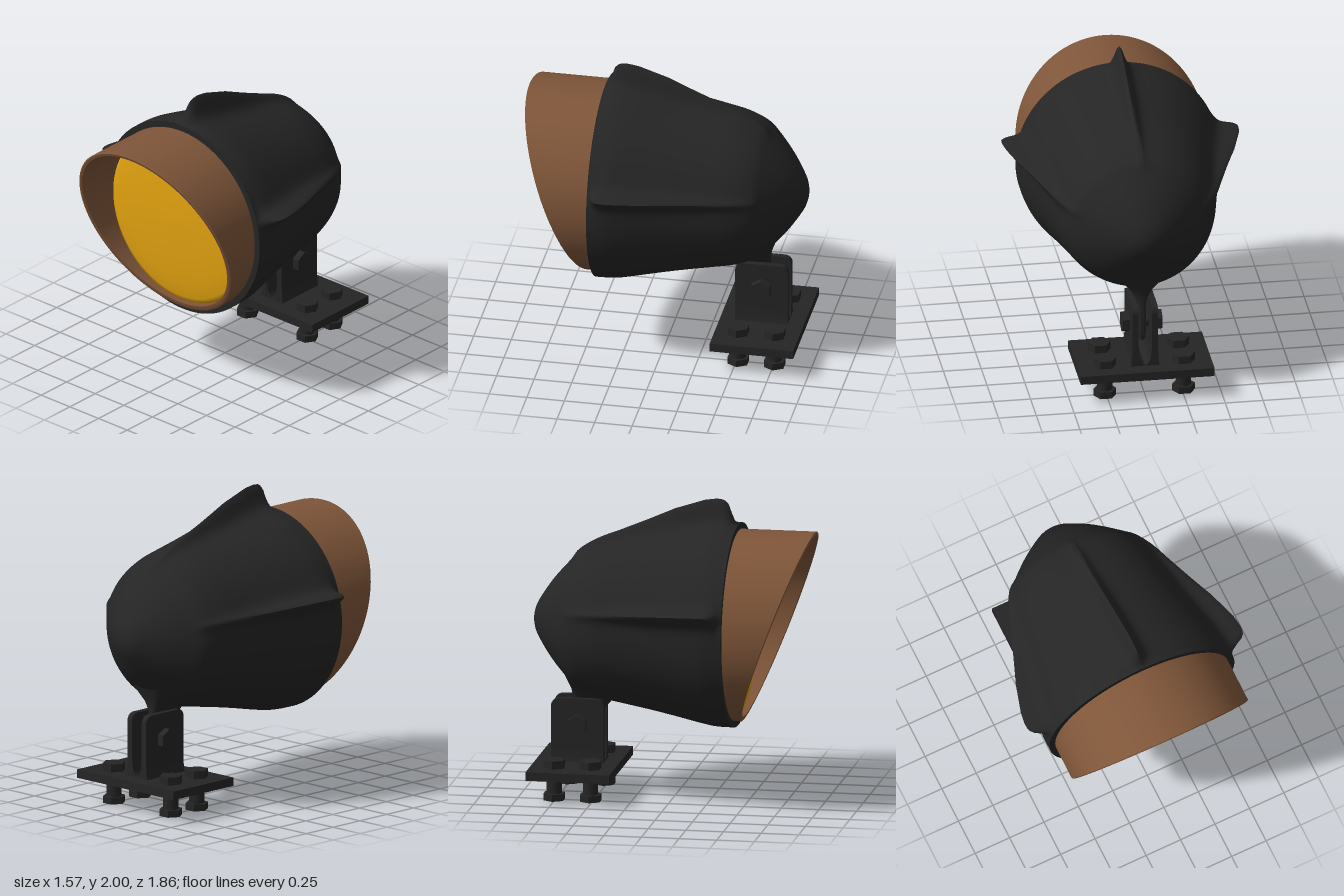
import * as THREE from 'three';
import { toCreasedNormals } from 'three/addons/utils/BufferGeometryUtils.js';

const CY = 1.16; // height of the lamp axis

const paint = (name, color) => {
  const m = new THREE.MeshStandardMaterial({ color });
  m.name = name;
  return m;
};

const v2 = (list) => list.map(([x, y]) => new THREE.Vector2(x, y));

// piecewise linear lookup in [key, value] pairs with ascending keys
function lookup(table, t) {
  if (t <= table[0][0]) return table[0][1];
  for (let i = 1; i < table.length; i++) {
    const [a, va] = table[i - 1], [b, vb] = table[i];
    if (t <= b) return va + (vb - va) * (t - a) / (b - a);
  }
  return table[table.length - 1][1];
}

// move every vertex by a rule, then rebuild normals
function warp(geo, rule, crease) {
  const p = geo.attributes.position, v = new THREE.Vector3();
  for (let i = 0; i < p.count; i++) {
    v.fromBufferAttribute(p, i);
    rule(v, i);
    p.setXYZ(i, v.x, v.y, v.z);
  }
  return toCreasedNormals(geo, crease);
}

// surface of revolution about z, profile given as [radius, z]
const latheZ = (profile, segments) =>
  new THREE.LatheGeometry(v2(profile), segments).rotateX(Math.PI / 2);

// housing shell with three soft-rooted fins drawn out of it
function housingGeometry() {
  const curve = new THREE.SplineCurve(v2([
    [0, -0.935], [0.06, -0.925], [0.13, -0.895], [0.27, -0.8], [0.41, -0.675], [0.465, -0.6],
    [0.51, -0.48], [0.54, -0.33], [0.568, -0.18], [0.605, 0], [0.65, 0.2], [0.668, 0.3], [0.672, 0.42],
  ]));
  const profile = curve.getPoints(84).map((p) => [Math.max(p.x, 0), p.y]);
  profile.push([0.6, 0.42]);
  const finHeight = [
    [-0.69, 0], [-0.655, 0.02], [-0.6, 0.03], [-0.4, 0.065], [-0.2, 0.112], [0, 0.16],
    [0.2, 0.18], [0.28, 0.175], [0.33, 0.165], [0.36, 0.13], [0.385, 0.05], [0.405, 0.01], [0.418, 0],
  ];
  const side = THREE.MathUtils.degToRad(15);
  const fins = [[Math.PI / 2, 1], [side, 0.83], [Math.PI - side, 0.83]];
  return warp(latheZ(profile, 360), (v) => {
    const r = Math.hypot(v.x, v.y);
    if (r < 0.1) return;
    const angle = Math.atan2(v.y, v.x), h = lookup(finHeight, v.z);
    let grow = 0;
    for (const [at, size] of fins) {
      const d = Math.atan2(Math.sin(angle - at), Math.cos(angle - at)) * r / 0.033;
      grow += h * size / (1 + d * d);
    }
    v.x *= 1 + grow / r;
    v.y *= 1 + grow / r;
  }, 0.9);
}

// thick tube whose front end is cut by a slanted plane
function hoodGeometry() {
  const profile = [[0.63, 0], [0.63, 0.985], [0.622, 1], [0.604, 1], [0.597, 0.985], [0.597, 0]];
  return warp(latheZ(profile, 96), (v) => {
    v.z = 0.4 + v.z * (0.295 + 0.373 * v.y);
  }, 0.6);
}

// loft upward through rounded sections [y, half width, front z, back z]
function loft(rows) {
  const geo = new THREE.LatheGeometry(v2(rows.map((r) => [1, r[0]])), 40);
  const soft = (s) => Math.sign(s) * Math.abs(s) ** 0.6;
  return warp(geo, (v, i) => {
    const [, half, front, back] = rows[i % rows.length];
    v.x = soft(v.x) * half;
    v.z = (front + back) / 2 + soft(v.z) * (front - back) / 2;
  }, 0.8);
}

// side-on outline (front edge z = -0.46, back edge z = -0.81) extruded along x
function armGeometry(thickness) {
  const s = new THREE.Shape();
  s.moveTo(0.46, 0.2);
  s.lineTo(0.81, 0.2);
  s.lineTo(0.81, 0.59);
  s.quadraticCurveTo(0.805, 0.635, 0.76, 0.64);
  s.lineTo(0.51, 0.64);
  s.quadraticCurveTo(0.465, 0.635, 0.46, 0.59);
  s.closePath();
  return new THREE.ExtrudeGeometry(s, { depth: thickness, bevelEnabled: false }).rotateY(Math.PI / 2);
}

// flared foot that blends both arms into the plate
function footGeometry() {
  const s = new THREE.Shape();
  s.moveTo(-0.1, 0.21);
  s.quadraticCurveTo(-0.085, 0.23, -0.085, 0.36);
  s.lineTo(-0.045, 0.4);
  s.bezierCurveTo(-0.045, 0.28, -0.03, 0.225, 0, 0.222);
  s.bezierCurveTo(0.03, 0.225, 0.045, 0.28, 0.045, 0.4);
  s.lineTo(0.085, 0.36);
  s.quadraticCurveTo(0.085, 0.23, 0.1, 0.21);
  s.closePath();
  return new THREE.ExtrudeGeometry(s, { depth: 0.348, bevelEnabled: false }).translate(0, 0, -0.809);
}

export function createModel() {
  const model = new THREE.Group();
  const black = paint('black metal', 0x252525);
  const brown = paint('brown hood', 0x7e5539);
  const amber = paint('amber lens', 0xe3a310);

  const add = (name, geo, mat, x = 0, y = 0, z = 0, parent = model) => {
    const mesh = new THREE.Mesh(geo, mat);
    mesh.name = name;
    mesh.position.set(x, y, z);
    parent.add(mesh);
    return mesh;
  };

  // lamp head
  add('finnedHousing', housingGeometry(), black, 0, CY);
  add('hood', hoodGeometry(), brown, 0, CY);
  const dome = [[0.6, 0.42], [0.59, 0.438], [0.56, 0.452], [0.45, 0.468], [0.25, 0.482], [0, 0.488]];
  add('lens', latheZ(dome, 72), amber, 0, CY);

  // lug under the housing that sits between the bracket arms
  add('pivotLug', loft([
    [0.345, 0, -0.56, -0.68], [0.347, 0.012, -0.54, -0.69], [0.36, 0.024, -0.51, -0.695],
    [0.4, 0.029, -0.49, -0.695], [0.57, 0.03, -0.465, -0.685], [0.61, 0.036, -0.43, -0.682],
    [0.65, 0.055, -0.4, -0.68], [0.7, 0.09, -0.38, -0.685], [0.75, 0.14, -0.37, -0.705],
    [0.82, 0.2, -0.37, -0.73], [0.83, 0, -0.4, -0.7],
  ]), black);

  // bracket with pivot bolt
  for (const [side, s] of [['left', 1], ['right', -1]]) {
    add(side + 'BracketArm', armGeometry(0.04), black, s > 0 ? 0.045 : -0.085);
    const nut = new THREE.CylinderGeometry(0.072, 0.072, 0.05, 6).toNonIndexed();
    nut.computeVertexNormals();
    add(side + 'PivotNut', nut.rotateX(Math.PI / 2).rotateY(Math.PI / 2), black, s * 0.107, 0.465, -0.635);
  }
  const pin = new THREE.CylinderGeometry(0.04, 0.04, 0.2, 20).rotateZ(Math.PI / 2);
  add('pivotPin', pin, black, 0, 0.465, -0.635);
  add('bracketFoot', footGeometry(), black);

  // mounting plate with four bolts
  add('mountingPlate', new THREE.BoxGeometry(0.885, 0.057, 0.556), black, 0, 0.188, -0.637);
  const hex = (h) => {
    const g = new THREE.CylinderGeometry(0.075, 0.075, h, 6).toNonIndexed();
    g.computeVertexNormals();
    return g.rotateY(Math.PI / 6);
  };
  for (const x of [-0.26, 0.26]) {
    for (const z of [-0.515, -0.757]) {
      const bolt = new THREE.Group();
      bolt.name = 'mountingBolt';
      bolt.position.set(x, 0, z);
      model.add(bolt);
      add('boltHead', hex(0.055), black, 0, 0.242, 0, bolt);
      add('boltShaft', new THREE.CylinderGeometry(0.05, 0.05, 0.2, 24), black, 0, 0.11, 0, bolt);
      add('boltNut', hex(0.046), black, 0, 0.023, 0, bolt);
    }
  }
  return model;
}
